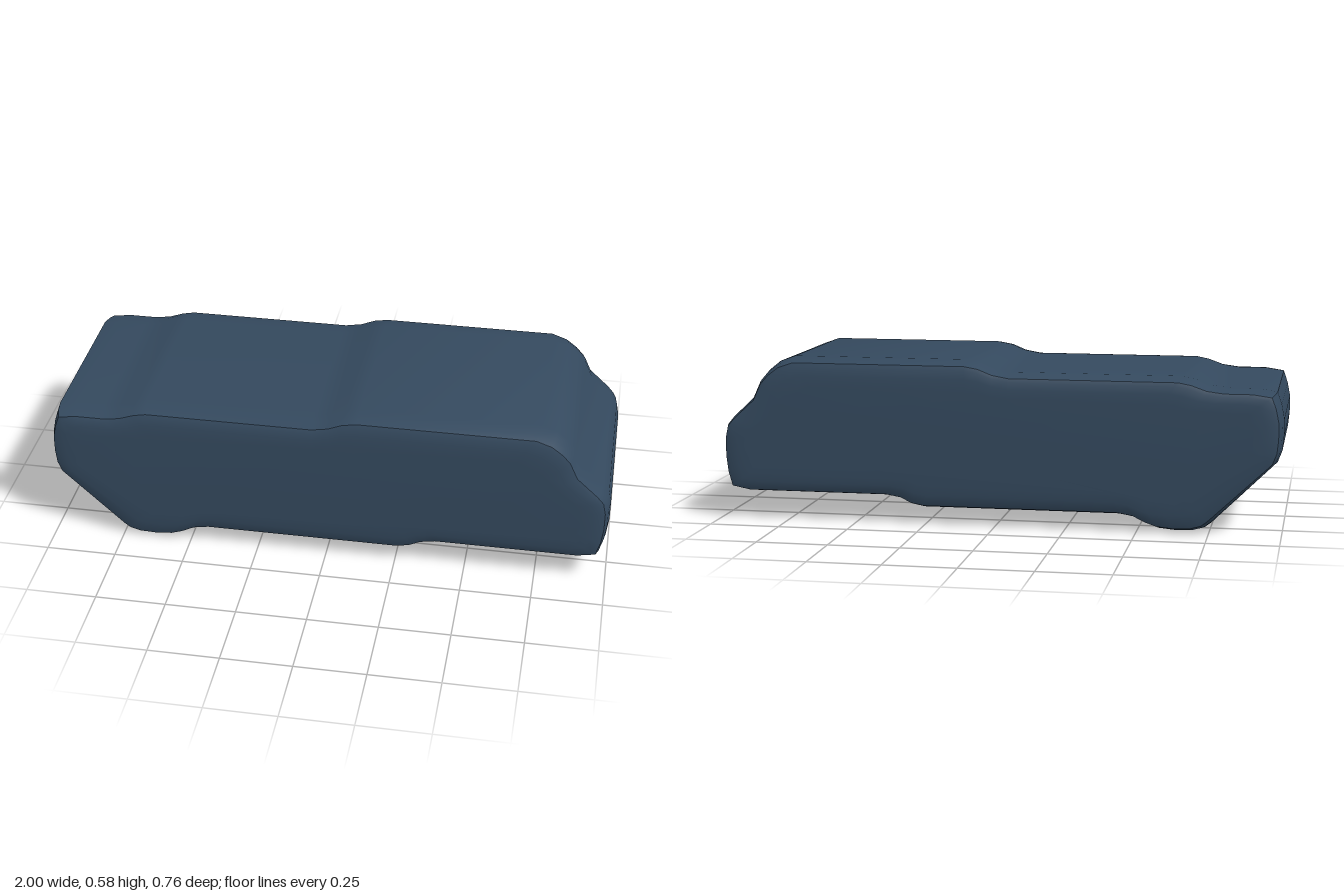
import * as THREE from 'three';
import { toCreasedNormals } from 'three/addons/utils/BufferGeometryUtils.js';

// Side outline of the body, counterclockwise, as [x, y]
const OUTLINE = [
  [-0.757, 0.03], [-0.735, 0.013], [-0.70, 0.003], [-0.64, 0.0], [-0.58, 0.006], [-0.54, 0.02],
  [-0.495, 0.043], [-0.44, 0.053], [0.26, 0.053], [0.305, 0.062], [0.345, 0.082], [0.40, 0.092],
  [0.91, 0.092], [0.975, 0.105], [0.99, 0.16], [0.997, 0.22], [0.997, 0.29], [0.988, 0.335],
  [0.965, 0.363], [0.89, 0.435], [0.862, 0.498], [0.835, 0.53], [0.795, 0.562], [0.74, 0.582],
  [0.11, 0.582], [0.06, 0.573], [0.01, 0.552], [-0.05, 0.541], [-0.65, 0.541], [-0.695, 0.532],
  [-0.75, 0.512], [-0.81, 0.504], [-0.91, 0.504], [-0.975, 0.494], [-0.99, 0.45], [-1.0, 0.4],
  [-1.0, 0.34], [-0.995, 0.29], [-0.98, 0.25],
];

// Cross-sections along z as [z, inset]: shallow crowns meeting at a soft corner
const HALF = [[0.29, 0], [0.335, 0.006], [0.368, 0.016], [0.374, 0.03], [0.379, 0.06], [0.381, 0.1]];
const RINGS = [...HALF.map(([z, s]) => [-z, s]).reverse(), ...HALF];
const MID_Y = 0.3;

function bodyGeometry() {
  const n = OUTLINE.length;
  const positions = [];
  const index = [];
  for (const [z, s] of RINGS) {
    for (const [x, y] of OUTLINE) {
      positions.push(x * (1 - s), MID_Y + (y - MID_Y) * (1 - s / 0.28), z);
    }
  }
  // Skin between neighbouring rings
  for (let i = 0; i < RINGS.length - 1; i++) {
    for (let j = 0; j < n; j++) {
      const k = (j + 1) % n;
      const a = i * n + j, b = i * n + k, c = b + n, d = a + n;
      index.push(a, b, c, a, c, d);
    }
  }
  // Flat panels closing both sides
  const last = (RINGS.length - 1) * n;
  const points = OUTLINE.map(([x, y]) => new THREE.Vector2(x, y));
  for (const [a, b, c] of THREE.ShapeUtils.triangulateShape(points, [])) {
    index.push(last + a, last + b, last + c, c, b, a);
  }
  const geometry = new THREE.BufferGeometry();
  geometry.setAttribute('position', new THREE.Float32BufferAttribute(positions, 3));
  geometry.setIndex(index);
  return toCreasedNormals(geometry, 0.6);
}

export function createModel() {
  const group = new THREE.Group();
  group.name = 'steppedBlock';
  const slateBlue = new THREE.MeshStandardMaterial({ color: 0x34495e });
  slateBlue.name = 'slateBlue';
  const body = new THREE.Mesh(bodyGeometry(), slateBlue);
  body.name = 'body';
  group.add(body);
  return group;
}
